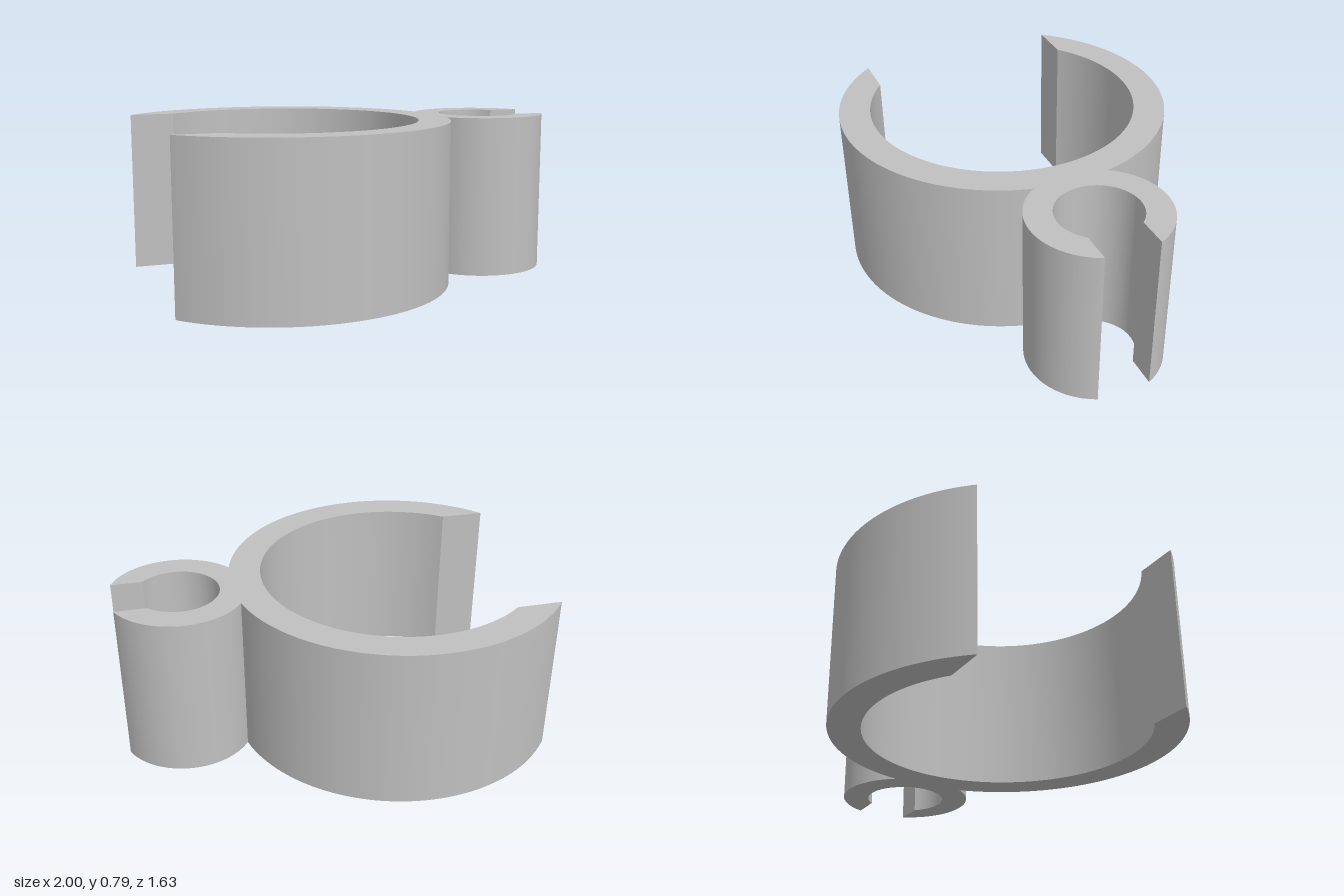
import * as THREE from 'three';
import { toCreasedNormals } from 'three/addons/utils/BufferGeometryUtils.js';

const HEIGHT = 0.786;
// Two C-shaped rings: centre x, outer and inner radius, half width of the mouth
const big = { x: -0.365, outer: 0.813, inner: 0.66, gap: 0.51 };
const small = { x: 0.697, outer: 0.327, inner: 0.198, gap: 0.13 };

export function createModel() {
  const clipGrey = new THREE.MeshStandardMaterial({ color: 0xc0c0c0 });
  clipGrey.name = 'clipGrey';

  // Angles, seen from each centre, where the outer circles meet
  const d = small.x - big.x;
  const along = (d * d + big.outer ** 2 - small.outer ** 2) / (2 * d);
  const joinBig = Math.acos(along / big.outer);
  const joinSmall = Math.acos((d - along) / small.outer);
  const mouth = (ring, radius) => Math.asin(ring.gap / radius);

  // One continuous outline; absarc adds the straight cuts between arcs
  const outline = new THREE.Shape();
  const arc = (ring, radius, from, to, clockwise = false) =>
    outline.absarc(ring.x, 0, radius, from, to, clockwise);
  const bigTip = mouth(big, big.outer), bigLip = mouth(big, big.inner);
  const smallTip = mouth(small, small.outer), smallLip = mouth(small, small.inner);
  arc(big, big.outer, -Math.PI + bigTip, -joinBig);
  arc(small, small.outer, -Math.PI + joinSmall, -smallTip);
  arc(small, small.inner, -smallLip, -2 * Math.PI + smallLip, true);
  arc(small, small.outer, smallTip, Math.PI - joinSmall);
  arc(big, big.outer, joinBig, Math.PI - bigTip);
  arc(big, big.inner, Math.PI - bigLip, -Math.PI + bigLip, true);
  outline.closePath();

  // Extrude upward, with smooth curved walls and sharp rims
  const extruded = new THREE.ExtrudeGeometry(outline, {
    depth: HEIGHT, bevelEnabled: false, curveSegments: 64,
  });
  extruded.rotateX(-Math.PI / 2);
  const clip = new THREE.Mesh(toCreasedNormals(extruded, 0.4), clipGrey);
  clip.name = 'doubleClip';

  const model = new THREE.Group();
  model.name = 'doublePipeClip';
  model.add(clip);
  return model;
}
